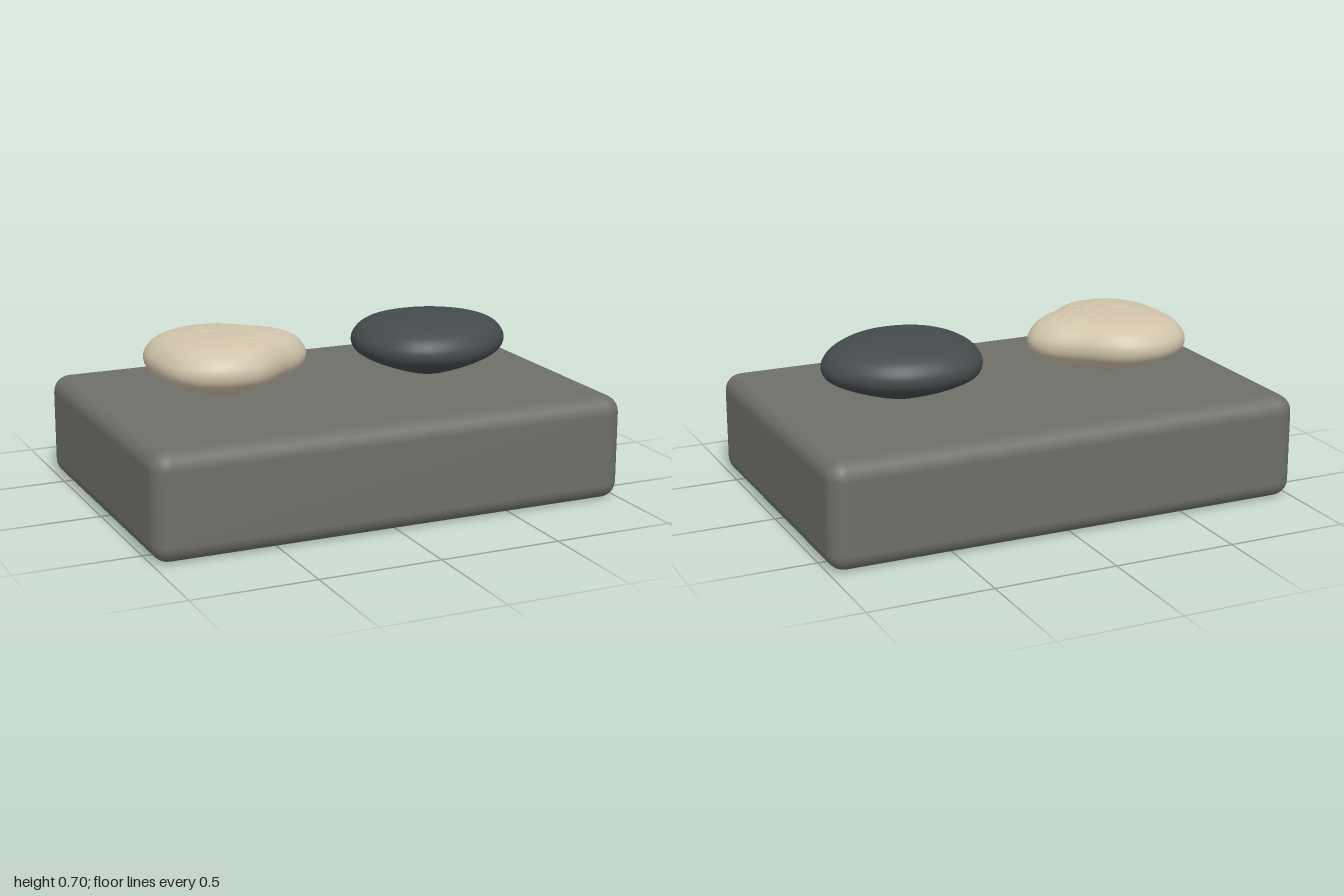
import * as THREE from 'three';
import { mergeVertices } from 'three/addons/utils/BufferGeometryUtils.js';
import { RoundedBoxGeometry } from 'three/addons/geometries/RoundedBoxGeometry.js';

const mat = (name, color) => {
  const m = new THREE.MeshStandardMaterial({ color });
  m.name = name;
  return m;
};

// Seeded random numbers for the dimples
function seeded(seed) {
  return () => {
    seed = (seed * 16807) % 2147483647;
    return seed / 2147483647;
  };
}

// Pebble: a spun profile, stretched to a lopsided outline, dimpled on top.
// radii: outline from +x turning toward +z, every 45 degrees.
function pebble(radii, topY, count, seed) {
  const h = topY - 0.43;
  const profile = new THREE.SplineCurve([
    [0, 0], [0.3, 0.09], [0.65, 0.24], [0.88, 0.37], [0.97, 0.46], [1, 0.58],
    [0.97, 0.7], [0.87, 0.83], [0.68, 0.93], [0.4, 0.98], [0, 1],
  ].map(([r, y]) => new THREE.Vector2(r, y * h)));
  const points = profile.getPoints(110);
  points[0].x = points[110].x = 0;
  const outline = new THREE.CatmullRomCurve3(
    radii.map((r) => new THREE.Vector3(r, 0, 0)), true, 'catmullrom', 0.5);

  const rnd = seeded(seed);
  const dimples = Array.from({ length: count }, () => {
    const a = rnd() * Math.PI * 2, d = 0.02 + 0.21 * rnd();
    return { x: d * Math.cos(a), z: d * Math.sin(a), depth: 0.002 + 0.003 * rnd() };
  });

  let geo = new THREE.LatheGeometry(points, 128);
  geo.deleteAttribute('uv');
  geo.deleteAttribute('normal');
  const p = geo.attributes.position;
  for (let i = 0; i < p.count; i++) {
    const t = Math.atan2(p.getZ(i), p.getX(i)) / (Math.PI * 2);
    const r = outline.getPoint((t + 1) % 1).x;
    const x = p.getX(i) * r, z = p.getZ(i) * r;
    let y = p.getY(i);
    if (y > h * 0.75) {
      for (const d of dimples) {
        const q = ((x - d.x) ** 2 + (z - d.z) ** 2) / 0.00015;
        if (q < 9) y -= d.depth * Math.exp(-q);
      }
    }
    p.setXYZ(i, x, y, z);
  }
  geo = mergeVertices(geo, 1e-5);
  geo.computeVertexNormals();
  return geo;
}

export function createModel() {
  const group = new THREE.Group();
  const add = (name, geo, material, x, y) => {
    const mesh = new THREE.Mesh(geo, material);
    mesh.name = name;
    mesh.position.set(x, y, 0);
    group.add(mesh);
  };

  // Rounded slab
  add('base', new RoundedBoxGeometry(2, 0.43, 1.32, 4, 0.07), mat('stone grey', 0x6e6f68), 0, 0.215);

  // The two pebbles balanced on their tips
  add('palePebble', pebble([0.33, 0.25, 0.288, 0.328, 0.315, 0.355, 0.318, 0.265], 0.705, 42, 11),
    mat('pale cream', 0xd0c4aa), -0.45, 0.43);
  add('darkPebble', pebble([0.33, 0.295, 0.305, 0.335, 0.325, 0.325, 0.295, 0.305], 0.692, 18, 29),
    mat('dark slate', 0x454b4d), 0.45, 0.43);

  return group;
}
